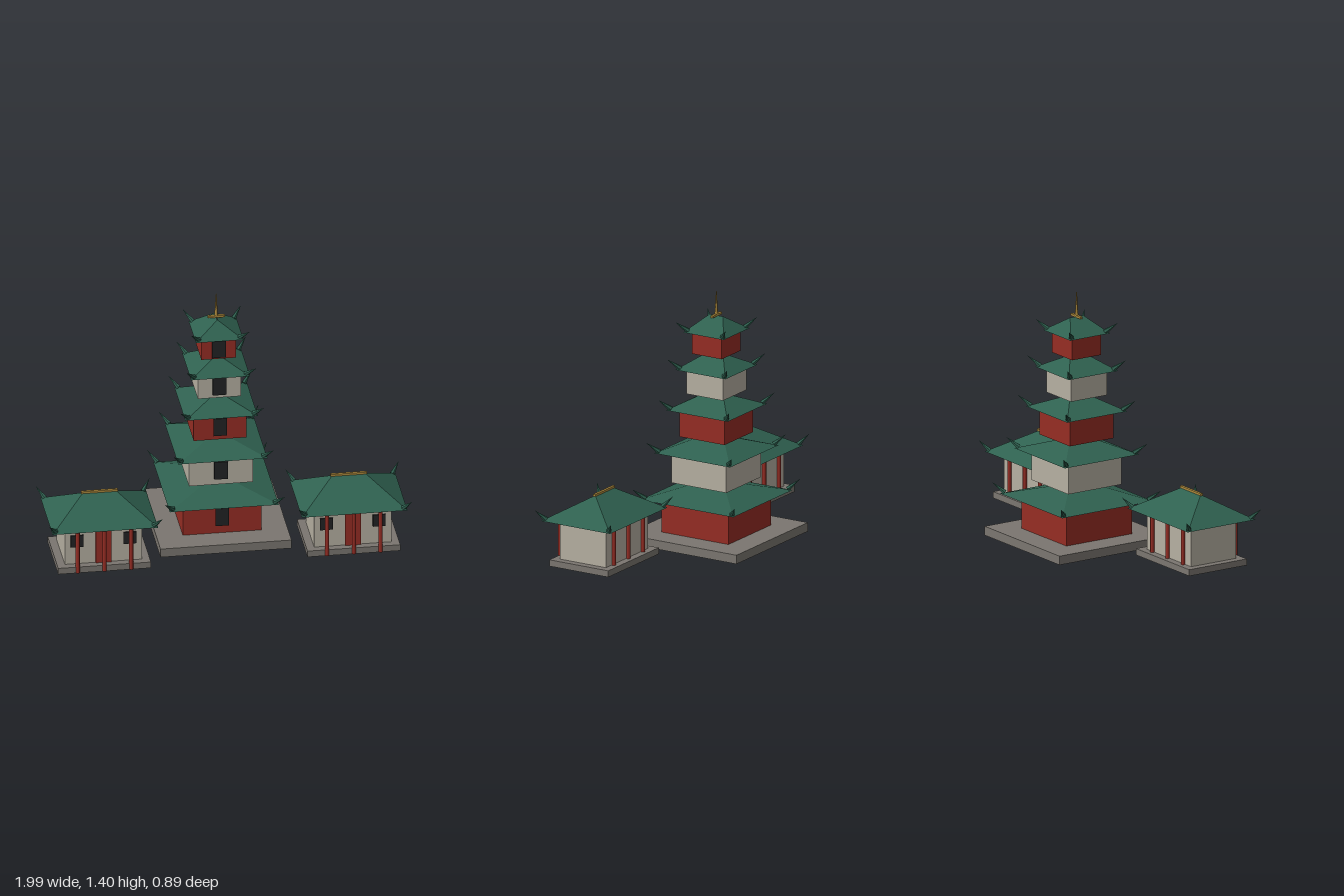
import * as THREE from 'three';

const mat = (name, color) => {
  const m = new THREE.MeshStandardMaterial({ color });
  m.name = name;
  return m;
};

export function createModel() {
  const red = mat('red lacquer', 0x962d24);
  const cream = mat('cream plaster', 0xb6b0a2);
  const green = mat('green tile', 0x2f6150);
  const stone = mat('grey stone', 0x7b7670);
  const gold = mat('gold', 0xae8a3c);
  const dark = mat('dark window', 0x222324);

  const add = (parent, name, geometry, material, x = 0, y = 0, z = 0) => {
    const mesh = new THREE.Mesh(geometry, material);
    mesh.name = name;
    mesh.position.set(x, y, z);
    parent.add(mesh);
    return mesh;
  };
  // Box standing on height y
  const box = (parent, name, w, h, d, material, x, y, z) =>
    add(parent, name, new THREE.BoxGeometry(w, h, d), material, x, y + h / 2, z);

  // Hipped roof: half sizes a, b at the eaves, ridge half sizes rx, rz at height h
  const hipGeometry = (a, b, rx, rz, h) => {
    const e = [[-a, 0, b], [a, 0, b], [a, 0, -b], [-a, 0, -b]];
    const t = [[-rx, h, rz], [rx, h, rz], [rx, h, -rz], [-rx, h, -rz]];
    const tris = [e[0], e[2], e[1], e[0], e[3], e[2]];
    for (let i = 0; i < 4; i++) {
      const j = (i + 1) % 4;
      tris.push(e[i], e[j], t[j], e[i], t[j], t[i]);
    }
    const g = new THREE.BufferGeometry();
    g.setAttribute('position', new THREE.Float32BufferAttribute(tris.flat(), 3));
    g.computeVertexNormals();
    return g;
  };

  // Roof with four horns sweeping up and out of its corners
  const roof = (parent, a, b, rx, rz, h, y, out) => {
    const group = new THREE.Group();
    group.name = 'roof';
    group.position.y = y;
    parent.add(group);
    add(group, 'roofTiles', hipGeometry(a, b, rx, rz, h), green);
    for (const sx of [-1, 1]) for (const sz of [-1, 1]) {
      const base = new THREE.Vector3(sx * (a - 0.02), 0.008, sz * (b - 0.02));
      const tip = new THREE.Vector3(sx * (a + out), 0.061, sz * (b + out));
      const dir = tip.clone().sub(base);
      const horn = add(group, 'cornerHorn', new THREE.ConeGeometry(0.015, dir.length(), 6).toNonIndexed(), green);
      horn.geometry.computeVertexNormals();
      horn.position.copy(base).add(tip).multiplyScalar(0.5);
      horn.quaternion.setFromUnitVectors(new THREE.Vector3(0, 1, 0), dir.normalize());
    }
  };

  const model = new THREE.Group();
  model.name = 'templeComplex';

  // Five-storey tower
  const tower = new THREE.Group();
  tower.name = 'tower';
  tower.position.z = -0.086;
  model.add(tower);
  box(tower, 'towerBase', 0.72, 0.05, 0.72, stone, 0, 0, 0);
  // Each storey: wall width, floor, eave height, roof half width, window floor
  const storeys = [
    [0.432, 0.05, 0.24, 0.3, 0.096],
    [0.352, 0.326, 0.5, 0.245, 0.36],
    [0.29, 0.585, 0.74, 0.199, 0.61],
    [0.236, 0.826, 0.966, 0.162, 0.845],
    [0.192, 1.052, 1.176, 0.131, 1.062],
  ];
  storeys.forEach(([w, y0, y1, eave, wy], i) => {
    const storey = new THREE.Group();
    storey.name = 'storey' + (i + 1);
    tower.add(storey);
    box(storey, 'wall', w, y1 - y0, w, i % 2 ? cream : red, 0, y0, 0);
    box(storey, 'window', 0.074, 0.104, 0.009, dark, 0, wy, w / 2 + 0.0045);
    roof(storey, eave, eave, 0.001, 0.043, 0.086, y1, 0.03);
  });
  box(tower, 'topRidge', 0.094, 0.012, 0.016, gold, 0, 1.258, 0);
  add(tower, 'spire', new THREE.CylinderGeometry(0.002, 0.01, 0.14, 8), gold, 0, 1.33, 0);

  // A hall on either side
  for (const side of [-1, 1]) {
    const hall = new THREE.Group();
    hall.name = side > 0 ? 'leftHall' : 'rightHall';
    hall.position.set(side * 0.685, 0, 0.2);
    model.add(hall);
    box(hall, 'hallBase', 0.51, 0.036, 0.38, stone, 0, 0, 0);
    box(hall, 'hallWall', 0.424, 0.217, 0.296, cream, 0, 0.036, 0);
    box(hall, 'door', 0.086, 0.189, 0.008, red, 0, 0.036, 0.152);
    for (const x of [-0.145, 0.145])
      box(hall, 'window', 0.07, 0.07, 0.009, dark, x, 0.14, 0.1525);
    for (const x of [-0.147, 0, 0.147]) for (const z of [-0.157, 0.189])
      add(hall, 'pillar', new THREE.CylinderGeometry(0.0115, 0.0115, 0.258, 8), red, x, 0.131, z);
    roof(hall, 0.29, 0.223, 0.09, 0.001, 0.13, 0.26, 0.022);
    box(hall, 'ridgeCap', 0.2, 0.012, 0.015, gold, 0, 0.387, 0);
  }
  return model;
}
